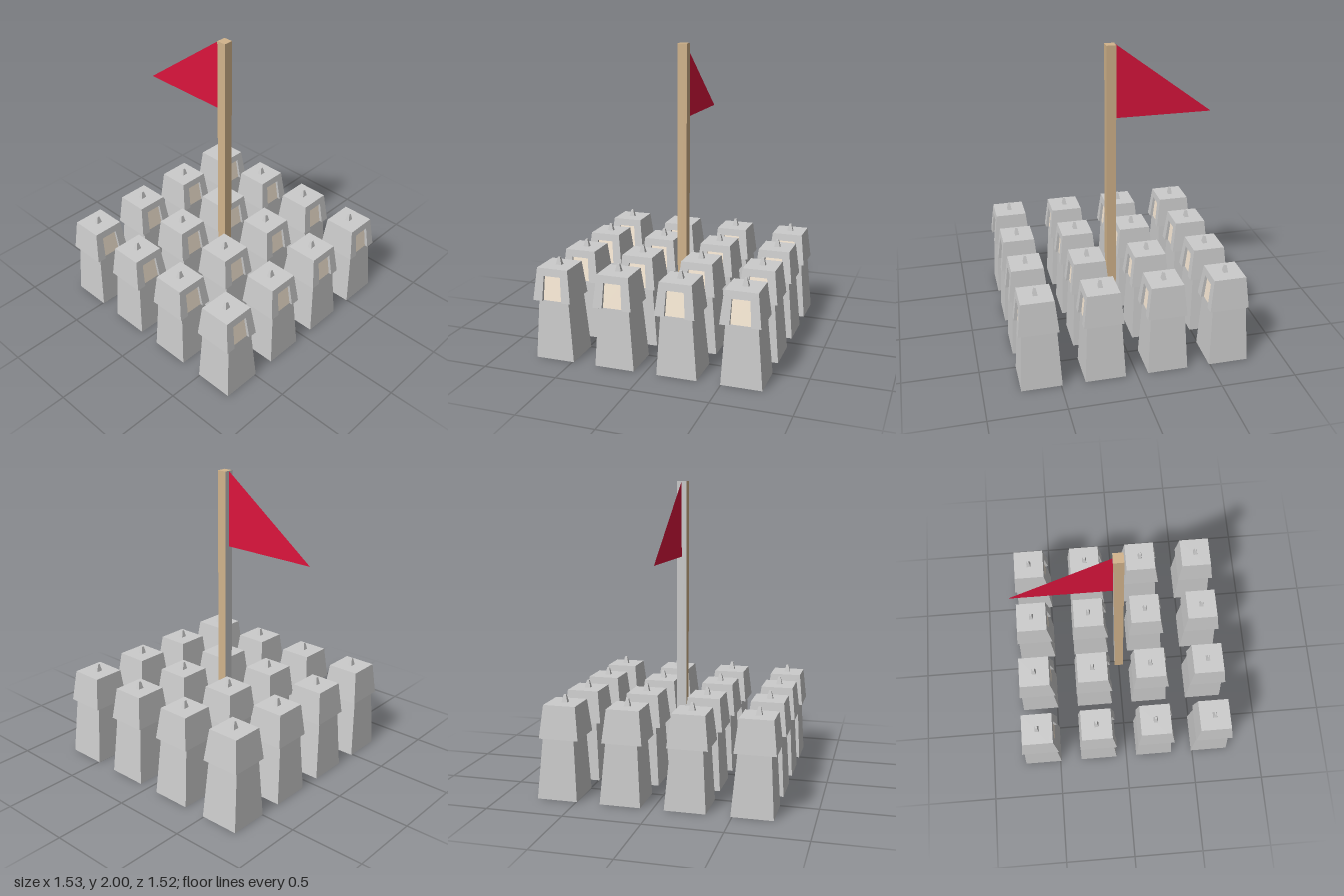
import * as THREE from 'three';

const mat = (color) => new THREE.MeshStandardMaterial({ color, flatShading: true });
const grey = mat(0xcccccc);
const tan = mat(0xd2b48c);
const skin = mat(0xfaebd7);
const red = mat(0xdc143c);
red.side = THREE.DoubleSide;

// Tapered block: lower and upper rectangles given as [x0, x1, z0, z1]
function taperedBlock(y0, y1, lower, upper) {
  const geo = new THREE.BoxGeometry(1, 1, 1);
  const p = geo.attributes.position;
  for (let i = 0; i < p.count; i++) {
    const r = p.getY(i) > 0 ? upper : lower;
    p.setXYZ(i, p.getX(i) < 0 ? r[0] : r[1], p.getY(i) > 0 ? y1 : y0, p.getZ(i) < 0 ? r[2] : r[3]);
  }
  geo.computeVertexNormals();
  return geo;
}

// Front of the helmet: a trapezoid with a face notch, leaned back as it rises
function visorGeometry() {
  const outline = [
    [-0.139, 0.395], [-0.075, 0.395], [-0.068, 0.56], [0.047, 0.56],
    [0.06, 0.395], [0.122, 0.395], [0.096, 0.61], [-0.117, 0.61],
  ].map(([x, y]) => new THREE.Vector2(x, y));
  const geo = new THREE.ExtrudeGeometry(new THREE.Shape(outline), { depth: 0.03, bevelEnabled: false });
  const p = geo.attributes.position;
  for (let i = 0; i < p.count; i++) {
    p.setZ(i, p.getZ(i) + 0.106 - 0.121 * (p.getY(i) - 0.395));
  }
  geo.computeVertexNormals();
  return geo;
}

function add(parent, name, geo, material) {
  const mesh = new THREE.Mesh(geo, material);
  mesh.name = name;
  parent.add(mesh);
  return mesh;
}

export function createModel() {
  const model = new THREE.Group();
  model.name = 'flagUnit';

  // Shared geometry for every soldier
  const body = taperedBlock(0, 0.396, [-0.129, 0.136, -0.134, 0.133], [-0.107, 0.1, -0.114, 0.113]);
  const helmet = taperedBlock(0.395, 0.61, [-0.139, 0.122, -0.126, 0.106], [-0.117, 0.096, -0.105, 0.08]);
  const visor = visorGeometry();
  const face = taperedBlock(0.395, 0.56, [-0.075, 0.06, 0.1, 0.114], [-0.068, 0.047, 0.08, 0.098]);
  const spike = taperedBlock(0.609, 0.66, [-0.031, 0.01, -0.013, 0.017], [-0.019, -0.003, -0.004, 0.009]);

  // Four by four block of soldiers
  const spacing = 0.417;
  for (let row = 0; row < 4; row++) {
    for (let col = 0; col < 4; col++) {
      const soldier = new THREE.Group();
      soldier.name = 'soldier';
      soldier.position.set((col - 1.5) * spacing, 0, (row - 1.5) * spacing);
      add(soldier, 'body', body, grey);
      add(soldier, 'helmet', helmet, grey);
      add(soldier, 'visor', visor, grey);
      add(soldier, 'face', face, skin);
      add(soldier, 'helmetSpike', spike, grey);
      model.add(soldier);
    }
  }

  // Pole, with an unpainted back face
  const pole = add(model, 'flagPole', new THREE.BoxGeometry(0.065, 2, 0.065), [tan, tan, tan, tan, tan, grey]);
  pole.position.y = 1;

  // Triangular pennant flying backwards
  const pennant = new THREE.Shape([
    new THREE.Vector2(0.032, 2), new THREE.Vector2(0.032, 1.5), new THREE.Vector2(0.695, 1.5),
  ]);
  add(model, 'flag', new THREE.ShapeGeometry(pennant), red).rotation.y = Math.PI / 2;

  return model;
}
